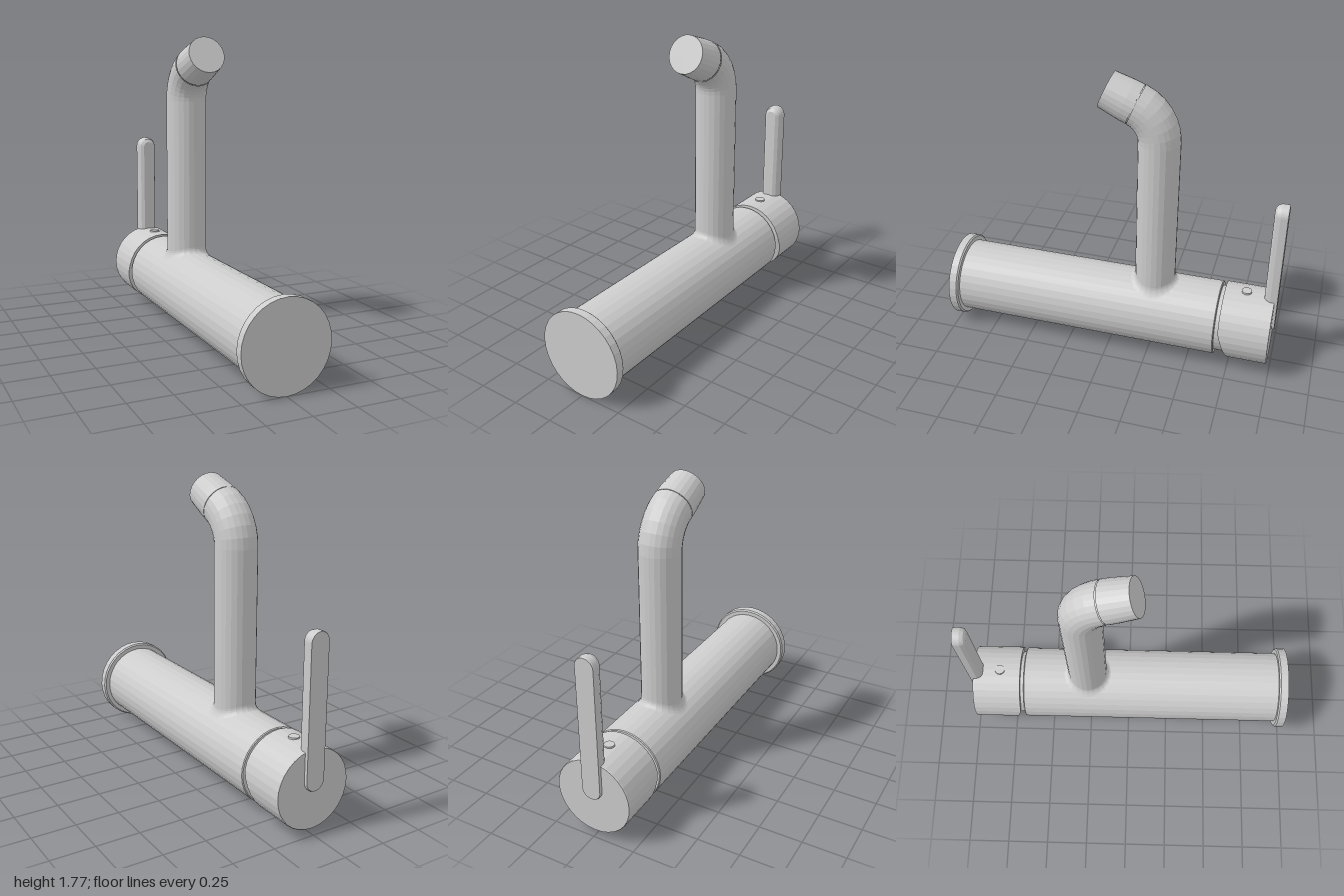
import * as THREE from 'three';

const AXIS_Y = 0.256; // height of the horizontal body axis
const BODY_R = 0.222;

export function createModel() {
  const model = new THREE.Group();
  model.name = 'mixerTap';
  const steel = new THREE.MeshStandardMaterial({ color: 0xcccccc, flatShading: true });
  steel.name = 'brushedSteel';

  const add = (name, geometry) => {
    const mesh = new THREE.Mesh(geometry, steel);
    mesh.name = name;
    model.add(mesh);
    return mesh;
  };
  const lathe = (profile, sides) =>
    new THREE.LatheGeometry(profile.map(([r, h]) => new THREE.Vector2(r, h)), sides);
  // turned part on the body axis, profile given as [radius, z] from back to front
  const turned = (profile) => lathe(profile, 32).rotateX(Math.PI / 2).translate(0, AXIS_Y, 0);
  // move every vertex by a rule
  const reshape = (geometry, rule) => {
    const p = geometry.attributes.position;
    const v = new THREE.Vector3();
    for (let i = 0; i < p.count; i++) {
      v.fromBufferAttribute(p, i);
      rule(v);
      p.setXYZ(i, v.x, v.y, v.z);
    }
    geometry.computeVertexNormals();
    return geometry;
  };

  // body, mounting flange and recessed neck
  add('baseFlange', turned([[0, 0.943], [0.248, 0.943], [0.256, 0.952], [0.256, 1], [0, 1]]));
  add('body', turned([[0, -0.665], [0.217, -0.665], [BODY_R, -0.66], [BODY_R, 0.95], [0, 0.95]]));
  add('neck', turned([[0, -0.82], [0.196, -0.82], [0.196, -0.65], [0, -0.65]]));

  // control head, its front edge slanting back below the middle
  add('controlHead', reshape(
    turned([[0, -0.983], [0.223, -0.983], [0.226, -0.978], [0.226, -0.688], [0.197, -0.688], [0.1, -0.688], [0, -0.688]]),
    (v) => { if (v.z > -0.8) v.z -= Math.max(0, 0.31 - v.y) * 0.28; }
  ));
  add('setScrew', new THREE.CylinderGeometry(0.03, 0.033, 0.03, 16).translate(0, 0.474, -0.815));

  // lever: rounded bar, flat at the back and rounded off at the front
  const w = 0.058, low = 0.25 + w, high = 1.105 - w;
  const outline = new THREE.Shape();
  outline.absarc(0, high, w, 0, Math.PI);
  outline.absarc(0, low, w, Math.PI, Math.PI * 2);
  outline.closePath();
  const layers = [[-1, 0.95], [-0.994, 1], [-0.957, 1], [-0.935, 0.85], [-0.922, 0.52]];
  const bar = new THREE.ExtrudeGeometry(outline, { depth: 4, steps: 4, bevelEnabled: false, curveSegments: 10 });
  add('lever', reshape(bar, (v) => {
    const [z, scale] = layers[Math.round(v.z)];
    const mid = THREE.MathUtils.clamp(v.y, low, high);
    v.set(v.x * scale, mid + (v.y - mid) * scale, z);
  }));

  // spout: riser, bend and tip
  const pipeR = 0.12, pipeZ = -0.26, bendY = 1.395, bendR = 0.22;
  const angle = THREE.MathUtils.degToRad(67);
  add('spoutRiser', new THREE.CylinderGeometry(pipeR, pipeR, bendY - 0.4, 24, 1, true)
    .translate(0, (bendY + 0.4) / 2, pipeZ));
  add('spoutBend', new THREE.TorusGeometry(bendR, pipeR, 24, 6, angle)
    .rotateY(Math.PI / 2).translate(0, bendY, pipeZ + bendR));
  const tip = add('spoutTip', lathe(
    [[0, -0.01], [0.113, -0.01], [0.113, 0.005], [0.119, 0.005], [0.118, 0.06], [0.109, 0.182], [0, 0.182]], 24));
  tip.position.set(0, bendY + bendR * Math.sin(angle), pipeZ + bendR * (1 - Math.cos(angle)));
  tip.rotation.x = angle;

  // concave fillet where the riser meets the round body
  add('spoutFillet', reshape(new THREE.CylinderGeometry(1, 1, 1, 24, 5, true), (v) => {
    const a = (v.y + 0.5) * Math.PI / 2;
    const r = 0.152 - 0.032 * Math.sin(a);
    const x = v.x * r;
    v.set(x, AXIS_Y + Math.sqrt(BODY_R ** 2 - x * x) + 0.036 * (1 - Math.cos(a)) - 0.001, pipeZ + v.z * r);
  }));

  return model;
}
